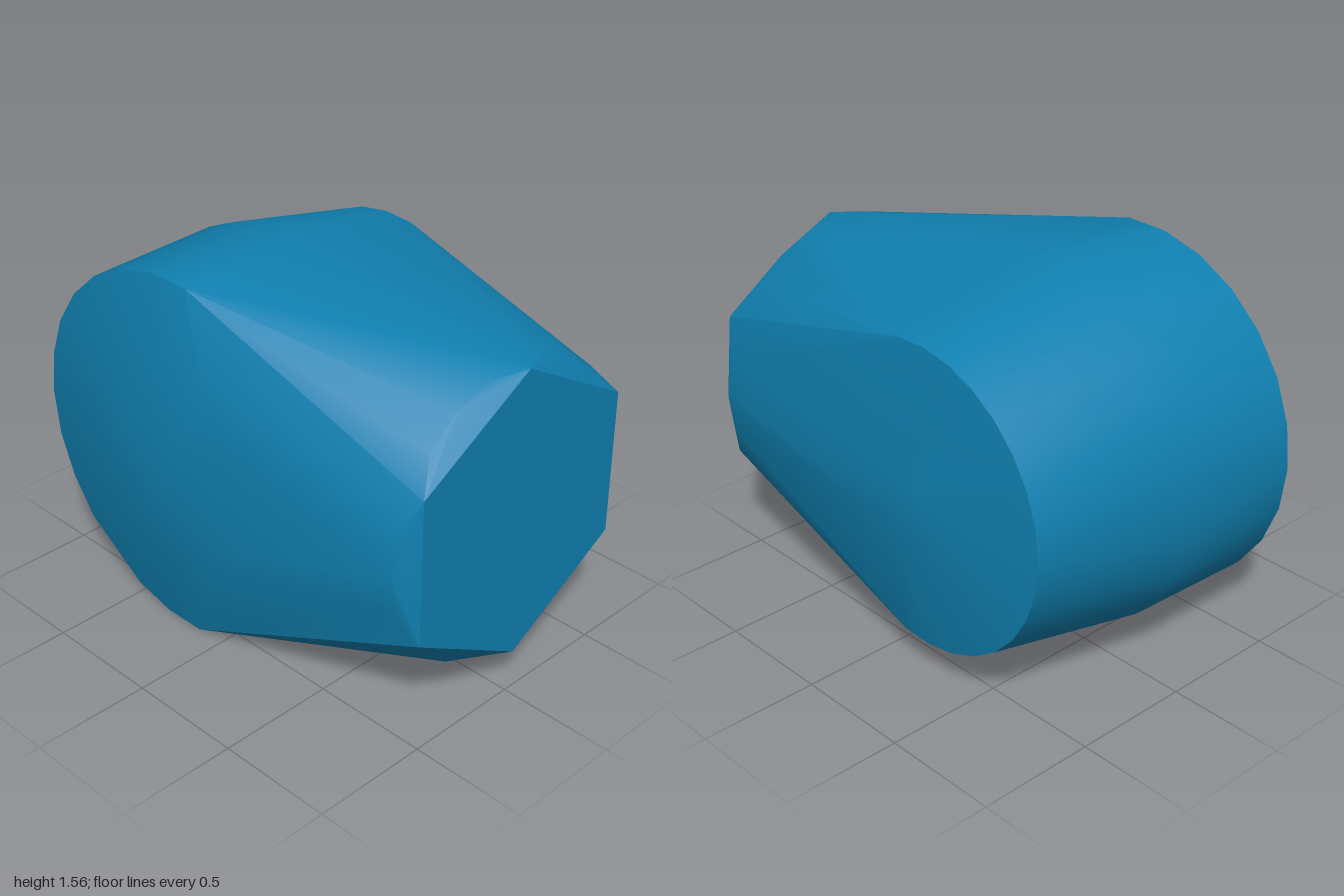
import * as THREE from 'three';
import { ConvexGeometry } from 'three/addons/geometries/ConvexGeometry.js';
import { toCreasedNormals } from 'three/addons/utils/BufferGeometryUtils.js';

const rad = THREE.MathUtils.degToRad;

// Arc of points facing z, running from angle a to angle b in degrees
function arcZ(cx, cy, z, r, count, a, b) {
  return Array.from({ length: count + 1 }, (_, i) => {
    const t = rad(a + (b - a) * i / count);
    return new THREE.Vector3(cx + r * Math.cos(t), cy + r * Math.sin(t), z);
  });
}

// Full ring of points facing x
function ringX(x, cy, cz, r, count) {
  return Array.from({ length: count }, (_, i) => {
    const t = i / count * Math.PI * 2;
    return new THREE.Vector3(x, cy + r * Math.cos(t), cz + r * Math.sin(t));
  });
}

export function createModel() {
  const group = new THREE.Group();
  const material = new THREE.MeshStandardMaterial({ color: 0x1080b0 });

  const points = [
    // rounded drum: front edge (with a small chamfer low on the side), middle and back edge
    ...arcZ(-0.222, 0.777, 0.59, 0.78, 10, 83, 223),
    ...arcZ(-0.222, 0.777, 0.59, 0.78, 2, 249, 277),
    ...arcZ(-0.232, 0.797, 0.03, 0.77, 16, 85, 275),
    ...arcZ(-0.235, 0.795, -0.63, 0.638, 16, 81, 279),
    // shallow domes on the front and back
    ...arcZ(-0.18, 0.8, 0.675, 0.45, 12, 0, 360),
    ...arcZ(-0.23, 0.8, 0.703, 0.12, 8, 0, 360),
    ...arcZ(-0.2, 0.79, -0.705, 0.14, 8, 0, 360),
    // round rim and the hexagonal end face
    ...ringX(0.93, 0.795, -0.035, 0.625, 24),
    ...ringX(1, 0.795, -0.035, 0.625, 6),
  ];

  const body = new THREE.Mesh(toCreasedNormals(new ConvexGeometry(points), 0.5), material);
  body.name = 'body';
  group.add(body);
  return group;
}
